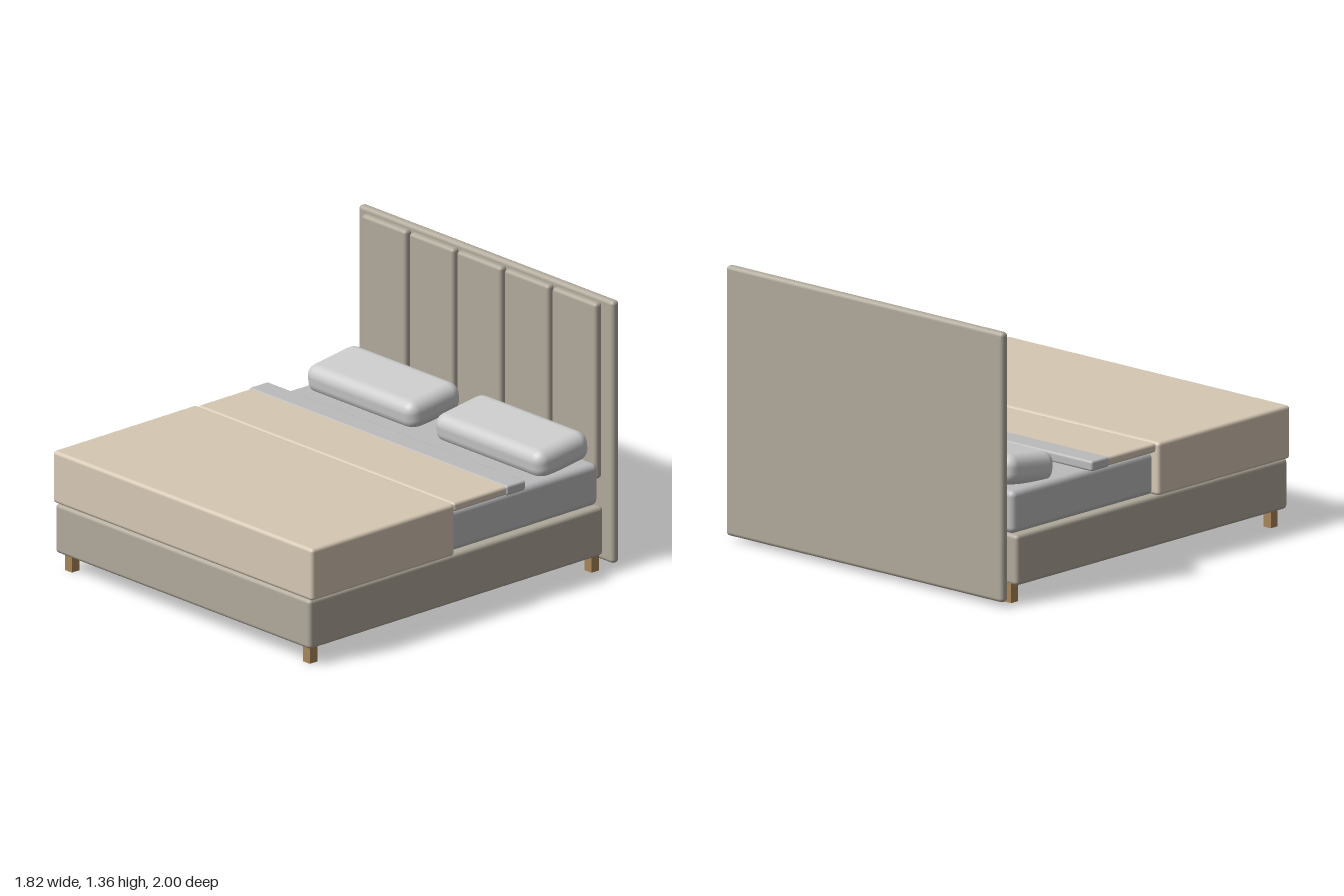
import * as THREE from 'three';
import { RoundedBoxGeometry } from 'three/addons/geometries/RoundedBoxGeometry.js';

const material = (color) => new THREE.MeshStandardMaterial({ color });

// Softly rounded box given by its extents on each axis
function softBox(name, mat, [x0, x1], [y0, y1], [z0, z1], radius, segments = 3) {
  const geometry = new RoundedBoxGeometry(x1 - x0, y1 - y0, z1 - z0, segments, radius);
  const mesh = new THREE.Mesh(geometry, mat);
  mesh.name = name;
  mesh.position.set((x0 + x1) / 2, (y0 + y1) / 2, (z0 + z1) / 2);
  return mesh;
}

export function createModel() {
  const bed = new THREE.Group();
  bed.name = 'bed';
  const upholstery = material(0xb0a99b);
  const linen = material(0xbbbbbd);
  const blanket = material(0xd6c8b4);
  const cotton = material(0xdededa);
  const wood = material(0xa88558);

  // Upholstered base and headboard
  bed.add(softBox('base', upholstery, [-0.895, 0.895], [0.087, 0.337], [-0.895, 1], 0.02));
  bed.add(softBox('headboard', upholstery, [-0.895, 0.895], [0.025, 1.355], [-1, -0.953], 0.02));

  // Five vertical padded panels
  const panels = new THREE.Group();
  panels.name = 'headboardPanels';
  for (let i = -2; i <= 2; i++) {
    const x = i * 0.334;
    panels.add(softBox('headboardPanel', upholstery,
      [x - 0.156, x + 0.156], [0.445, 1.337], [-0.954, -0.908], 0.018));
  }
  bed.add(panels);

  // Mattress and bedding
  bed.add(softBox('mattress', linen, [-0.865, 0.865], [0.335, 0.546], [-0.892, 0.98], 0.03));
  bed.add(softBox('duvet', blanket, [-0.912, 0.912], [0.337, 0.6], [0.078, 1], 0.018));
  bed.add(softBox('duvetFold', blanket, [-0.9, 0.9], [0.552, 0.598], [-0.28, 0.076], 0.015));
  bed.add(softBox('sheetFold', linen, [-0.906, 0.906], [0.55, 0.601], [-0.383, -0.26], 0.012));

  // Pillows lean slightly against the headboard; legs sit at the corners
  for (const side of [-1, 1]) {
    const pillow = new THREE.Mesh(new RoundedBoxGeometry(0.764, 0.15, 0.34, 3, 0.06), cotton);
    pillow.name = side > 0 ? 'leftPillow' : 'rightPillow';
    pillow.position.set(side * 0.45, 0.613, -0.711);
    pillow.rotation.x = 0.135;
    bed.add(pillow);

    for (const z of [-0.873, 0.942]) {
      const leg = new THREE.Mesh(new THREE.BoxGeometry(0.048, 0.095, 0.048), wood);
      leg.name = z > 0 ? 'frontLeg' : 'backLeg';
      leg.position.set(side * 0.835, 0.0475, z);
      bed.add(leg);
    }
  }
  return bed;
}
